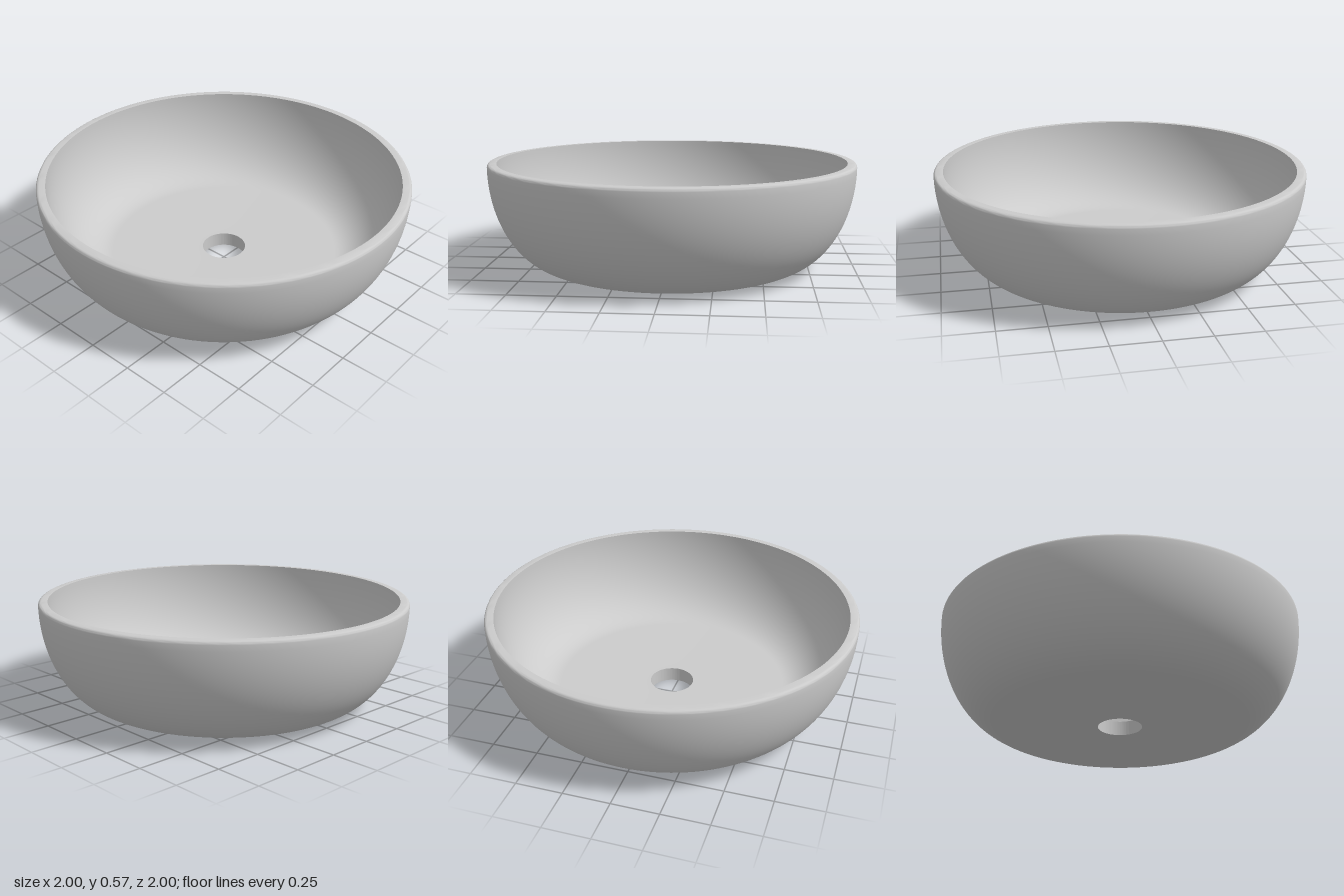
import * as THREE from 'three';
import { toCreasedNormals } from 'three/addons/utils/BufferGeometryUtils.js';

const HEIGHT = 0.575, FLOOR = 0.08, HOLE = 0.12, FLAT = 0.63;
const OUTER = 1, INNER = 0.95, FILLET = 0.018;

// Points along an elliptical arc, angles in radians.
function arc(cx, cy, rx, ry, from, to, steps) {
  return Array.from({ length: steps + 1 }, (_, i) => {
    const a = from + (to - from) * i / steps;
    return new THREE.Vector2(cx + rx * Math.cos(a), cy + ry * Math.sin(a));
  });
}

export function createModel() {
  const group = new THREE.Group();
  group.name = 'basin';
  const wallTop = HEIGHT - FILLET;

  // Closed wall section: underside, outer wall, rim, inner wall, floor, drain hole
  const profile = [
    new THREE.Vector2(HOLE, 0),
    ...arc(FLAT, wallTop, OUTER - FLAT, wallTop, -Math.PI / 2, 0, 28),
    ...arc(OUTER - FILLET, wallTop, FILLET, FILLET, 0, Math.PI / 2, 5).slice(1),
    ...arc(FLAT, HEIGHT, INNER - FLAT, HEIGHT - FLOOR, 0, -Math.PI / 2, 28),
    new THREE.Vector2(HOLE, FLOOR),
    new THREE.Vector2(HOLE, 0),
  ];

  // Smooth bowl with sharp edges at the rim's inner lip and the drain
  const bowl = new THREE.Mesh(
    toCreasedNormals(new THREE.LatheGeometry(profile, 128), Math.PI / 5),
    new THREE.MeshStandardMaterial({ color: 0xcccccc })
  );
  bowl.name = 'bowl';
  group.add(bowl);
  return group;
}
